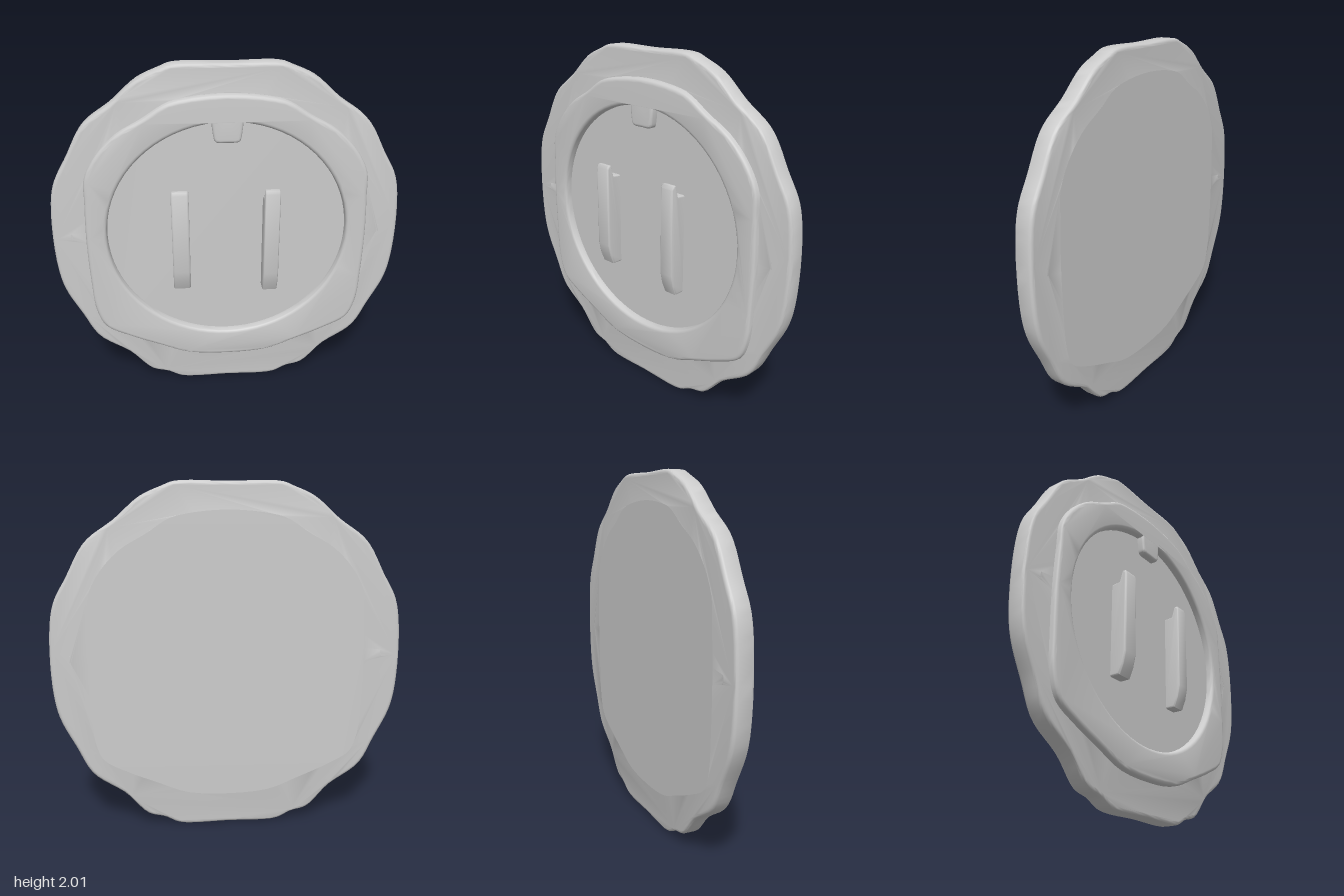
import * as THREE from 'three';
import { toCreasedNormals } from 'three/addons/utils/BufferGeometryUtils.js';

const MID = 1.02;

// Mirror a right-hand half profile (top to bottom) and smooth it into a loop
function mirroredLoop(half, samples, sx = 1, sy = 1) {
  const left = half.filter(p => p[0] > 0).reverse().map(([x, y]) => [-x, y]);
  const pts = [...half, ...left].map(([x, y]) => new THREE.Vector3(x * sx, MID + (y - MID) * sy, 0));
  const curve = new THREE.CatmullRomCurve3(pts, true, 'centripetal');
  return curve.getPoints(samples).slice(0, -1).map(p => new THREE.Vector2(p.x, p.y));
}

// Bevelled slab between two z depths; the bevel stays inside the outline
function slab(name, outline, holes, z0, z1, bevel, material) {
  const shape = new THREE.Shape(outline);
  for (const h of holes) shape.holes.push(new THREE.Path(h));
  const geo = new THREE.ExtrudeGeometry(shape, {
    depth: z1 - z0 - 2 * bevel, bevelEnabled: bevel > 0, bevelThickness: bevel,
    bevelSize: bevel, bevelOffset: -bevel, bevelSegments: 4,
  });
  geo.translate(0, 0, z0 + bevel);
  const mesh = new THREE.Mesh(toCreasedNormals(geo, 0.7), material);
  mesh.name = name;
  return mesh;
}

export function createModel() {
  const group = new THREE.Group();
  group.name = 'roundCover';
  const mat = new THREE.MeshStandardMaterial({ color: 0xcccccc });

  const rimHalf = [
    [0, 2], [0.29, 2], [0.36, 1.975], [0.48, 1.92], [0.62, 1.8], [0.78, 1.68], [0.89, 1.49],
    [0.965, 1.35], [0.995, 1.18], [0.995, 0.86], [0.965, 0.69], [0.88, 0.51], [0.79, 0.34],
    [0.61, 0.21], [0.48, 0.075], [0.38, 0.045], [0.29, 0.003], [0, 0],
  ];
  const ringHalf = [
    [0, 1.845], [0.2, 1.83], [0.33, 1.8], [0.46, 1.72], [0.6, 1.64], [0.72, 1.52], [0.79, 1.39],
    [0.8, 1.25], [0.81, 1.02], [0.805, 0.75], [0.79, 0.55], [0.74, 0.43], [0.6, 0.35],
    [0.42, 0.275], [0.25, 0.21], [0, 0.19],
  ];
  const pinHalf = [[0, 1.072], [0.022, 1.055], [0.017, 1.033], [0.026, 1.01], [0, 0.985]];

  // Outer rim with a pinched pin hole on each side
  const pinHole = side => mirroredLoop(pinHalf, 32).map(p => new THREE.Vector2(p.x + side * 0.89, p.y));
  group.add(slab('outerRim', mirroredLoop(rimHalf, 160),
    [mirroredLoop(ringHalf, 96, 1, 1.03), pinHole(-1), pinHole(1)], -0.093, 0.012, 0.02, mat));

  // Slightly recessed centre plate
  group.add(slab('centrePlate', mirroredLoop(ringHalf, 96, 1.03, 1.05), [], -0.085, -0.003, 0, mat));

  // Raised ring around the round recess
  const recess = new THREE.EllipseCurve(0, 1.03, 0.69, 0.665, 0, Math.PI * 2).getPoints(72).slice(0, -1);
  group.add(slab('raisedRing', mirroredLoop(ringHalf, 128), [recess], -0.04, 0.043, 0.022, mat));

  // Tab hanging from the top of the ring
  const tabHalf = [[0, 1.74], [0.075, 1.74], [0.078, 1.62], [0.065, 1.585], [0, 1.58]];
  group.add(slab('topTab', mirroredLoop(tabHalf, 40), [], -0.03, 0.042, 0.015, mat));

  // Two upright bars: overhanging top, sloped foot
  const bars = [['rightBar', -0.27, 0.1, 0.69, 1.32], ['leftBar', 0.25, 0.09, 0.66, 1.315]];
  for (const [name, x, width, low, high] of bars) {
    const side = [
      [-0.02, high - 0.07], [0.045, high - 0.065], [0.065, high], [0.085, high], [0.095, high - 0.02],
      [0.095, low + 0.13], [0.08, low + 0.06], [0.055, low], [-0.02, low],
    ].map(([z, y]) => new THREE.Vector2(z, y));
    const bar = slab(name, side, [], -width / 2, width / 2, 0.012, mat);
    bar.rotation.y = -Math.PI / 2;
    bar.position.x = x;
    group.add(bar);
  }
  return group;
}
